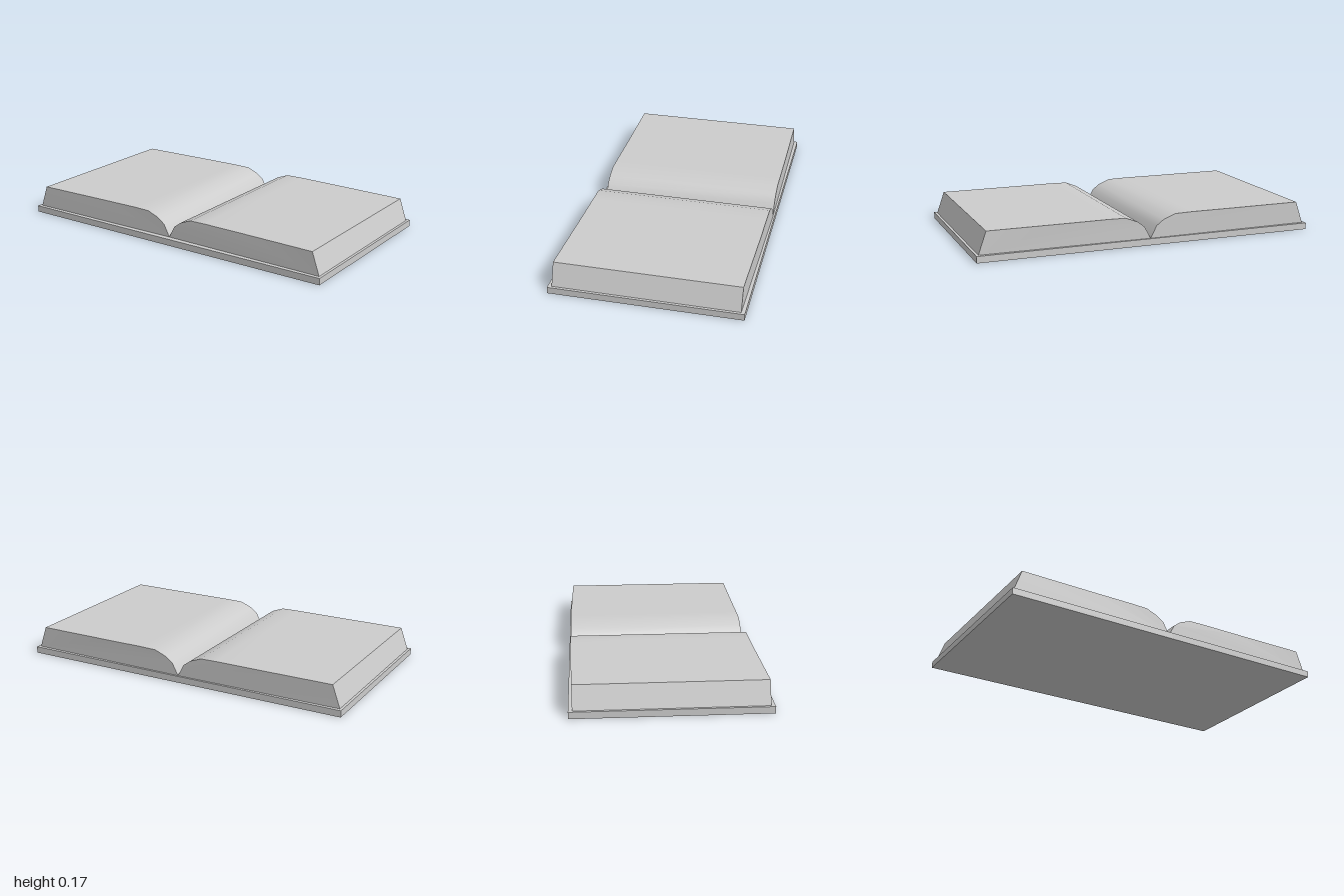
import * as THREE from 'three';
import { toCreasedNormals } from 'three/addons/utils/BufferGeometryUtils.js';

const COVER_TOP = 0.038;

// Half cross-section of the page stack: gutter curve, top sheet, slanted fore edge
const PAGE_PROFILE = [
  [0, COVER_TOP], [0.037, 0.108], [0.08, 0.14], [0.15, 0.167], [0.25, 0.169],
  [0.48, 0.168], [0.94, 0.166], [0.985, COVER_TOP],
];

function pageBlock(side, material) {
  const shape = new THREE.Shape(PAGE_PROFILE.map(([x, y]) => new THREE.Vector2(side * x, y)));
  const geometry = new THREE.ExtrudeGeometry(shape, { depth: 1.037, bevelEnabled: false });
  geometry.translate(0, 0, -0.519);
  // Pages bow slightly backwards towards the gutter
  const p = geometry.attributes.position;
  for (let i = 0; i < p.count; i++) {
    const t = p.getX(i) / 0.985;
    p.setZ(i, p.getZ(i) - 0.011 * (1 - t * t));
  }
  return new THREE.Mesh(toCreasedNormals(geometry, 0.6), material);
}

export function createModel() {
  const book = new THREE.Group();
  book.name = 'openBook';
  const grey = new THREE.MeshStandardMaterial({ color: 0xcccccc });
  grey.name = 'plainGrey';

  for (const [side, label] of [[1, 'left'], [-1, 'right']]) {
    // Cover board, meeting its twin at the spine
    const cover = new THREE.Mesh(new THREE.BoxGeometry(1, COVER_TOP, 1.08), grey);
    cover.position.set(side * 0.5, COVER_TOP / 2, 0);
    cover.name = label + 'Cover';
    // Stack of pages
    const pages = pageBlock(side, grey);
    pages.name = label + 'Pages';
    book.add(cover, pages);
  }
  return book;
}
